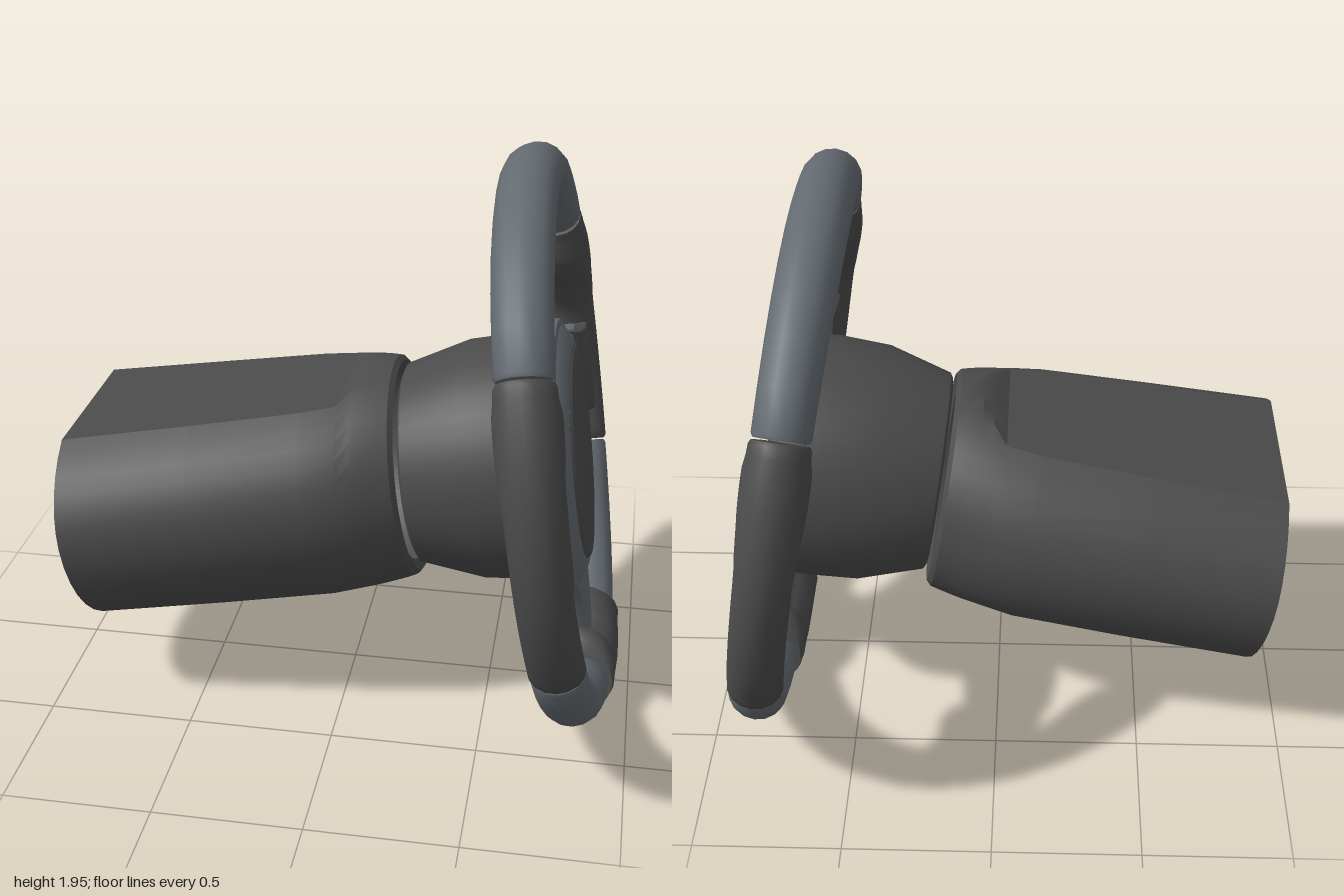
import * as THREE from 'three';
import { toCreasedNormals } from 'three/addons/utils/BufferGeometryUtils.js';

const dark = new THREE.MeshStandardMaterial({ color: 0x4b4b4b });
const darkOpen = new THREE.MeshStandardMaterial({ color: 0x4b4b4b, side: THREE.DoubleSide });
const slate = new THREE.MeshStandardMaterial({ color: 0x636a70 });
const HUB_Y = -0.07;
const rad = THREE.MathUtils.degToRad;

// Skin a list of closed rings, each an array of [x, y, z]
function loft(rings, crease) {
  const n = rings[0].length, index = [];
  for (let i = 0; i < rings.length - 1; i++) {
    for (let j = 0; j < n; j++) {
      const a = i * n + j, b = i * n + (j + 1) % n, c = b + n, d = a + n;
      index.push(a, d, c, a, c, b);
    }
  }
  const g = new THREE.BufferGeometry();
  g.setAttribute('position', new THREE.Float32BufferAttribute(rings.flat(2), 3));
  g.setIndex(index);
  return toCreasedNormals(g, crease);
}

// Piecewise linear lookup in [key, value] pairs with ascending keys
function lookup(table, x) {
  if (x <= table[0][0]) return table[0][1];
  for (let i = 1; i < table.length; i++) {
    const [x0, v0] = table[i - 1], [x1, v1] = table[i];
    if (x <= x1) return v0 + (v1 - v0) * (x - x0) / (x1 - x0);
  }
  return table[table.length - 1][1];
}

// Inner radius, outer radius and half depth of the bare rim at an angle
function rimSection(a) {
  const s = Math.sin(a), s2 = s * s;
  const mid = 0.922 - (s > 0 ? 0.027 : 0.05) * s2, h = 0.078 + 0.013 * s2;
  return { inner: mid - h, outer: mid + h, depth: h + 0.008 };
}

// Closed tube along an arc of the wheel, rounded off at both ends
function arcTube(deg0, deg1, section, steps, round = 0.012) {
  const rings = [], SIDES = 16, e = round / 0.9;
  const a0 = rad(deg0), a1 = rad(deg1);
  const stops = [[a0, 0.02], [a0, 0.93], [a0 + e, 1]];
  for (let i = 1; i < steps; i++) stops.push([a0 + (a1 - a0) * i / steps, 1]);
  stops.push([a1 - e, 1], [a1, 0.93], [a1, 0.02]);
  for (const [a, k] of stops) {
    const { inner, outer, depth } = section(a);
    const mid = (inner + outer) / 2, h = (outer - inner) / 2 * k;
    rings.push(Array.from({ length: SIDES }, (_, j) => {
      const p = j / SIDES * Math.PI * 2, r = mid + h * Math.cos(p);
      return [r * Math.cos(a), r * Math.sin(a), depth * k * Math.sin(p)];
    }));
  }
  return loft(rings, 0.75);
}

// Lathe turned about the column axis; points are [radius, z], back to front
function turned(points, segments = 40) {
  const g = new THREE.LatheGeometry(points.map(p => new THREE.Vector2(...p)), segments);
  g.rotateX(Math.PI / 2);
  g.translate(0, HUB_Y, 0);
  return toCreasedNormals(g, 0.5);
}

function plate(points, z0, z1, bevel) {
  const shape = new THREE.Shape(points.map(p => new THREE.Vector2(...p)));
  const g = new THREE.ExtrudeGeometry(shape, {
    depth: z1 - z0 - 2 * bevel, bevelEnabled: true, bevelSize: bevel,
    bevelThickness: bevel, bevelOffset: -bevel, bevelSegments: 2,
  });
  g.translate(0, 0, z0 + bevel);
  return toCreasedNormals(g, 0.5);
}

function hubArc(deg0, deg1, n) {
  return Array.from({ length: n + 1 }, (_, i) => {
    const a = rad(deg0 + (deg1 - deg0) * i / n);
    return [0.46 * Math.cos(a), HUB_Y + 0.46 * Math.sin(a)];
  });
}

// Column shroud: oval sections whose crown is cut flat towards the back
function shroudGeometry() {
  // z, half width, height above axis, depth below axis, flat height
  const sections = [
    [-0.53, 0.335, 0.325, 0.345, 9], [-0.515, 0.365, 0.352, 0.385, 9],
    [-0.53, 0.385, 0.37, 0.4, 9], [-0.56, 0.395, 0.376, 0.407, 9],
    [-0.61, 0.415, 0.38, 0.415, 0.302], [-0.65, 0.43, 0.38, 0.42, 0.285],
    [-0.7, 0.447, 0.38, 0.425, 0.257], [-0.82, 0.48, 0.38, 0.438, 0.254],
    [-1.2, 0.51, 0.375, 0.445, 0.246], [-1.65, 0.535, 0.37, 0.45, 0.238],
  ];
  const TOP = 8, REST = 32;
  const rings = sections.map(([z, w, up, down, cap]) => {
    const c = cap > 1 ? rad(70) : Math.asin(Math.min(0.94, (cap - HUB_Y) / up));
    const angles = [];
    for (let i = 0; i < TOP; i++) angles.push(c + (Math.PI - 2 * c) * i / TOP);
    for (let i = 0; i < REST; i++) angles.push(Math.PI - c + (Math.PI + 2 * c) * i / REST);
    return angles.map(t => {
      const s = Math.sin(t);
      return [0.014 + w * Math.cos(t), Math.min(cap, HUB_Y + s * (s > 0 ? up : down)), z];
    });
  });
  return loft(rings, 0.42);
}

export function createModel() {
  const model = new THREE.Group();
  model.name = 'steeringWheelAndColumn';
  const tilted = new THREE.Group();
  tilted.name = 'tiltedAssembly';
  tilted.rotation.set(0, Math.PI / 2, rad(9), 'ZYX');
  tilted.position.set(0.7, 0.975, 0);
  model.add(tilted);
  const add = (name, geometry, material) => {
    const mesh = new THREE.Mesh(geometry, material);
    mesh.name = name;
    tilted.add(mesh);
  };

  // Rim
  add('upperRim', arcTube(35.5, 144.5, rimSection, 12), slate);
  add('lowerRimRight', arcTube(-75, -27.5, rimSection, 6), slate);
  add('lowerRimLeft', arcTube(-152.5, -105, rimSection, 6), slate);

  // Hand grips with a thumb rest near the upper end
  const thumb = [[9, 0], [13, 0.022], [18, 0.035], [22, 0.052], [29, 0.052], [33, 0.005]];
  const grip = a => {
    const s = rimSection(a), deg = 90 - Math.abs(90 - THREE.MathUtils.radToDeg(a));
    const t = lookup(thumb, deg);
    return { inner: s.inner - 0.003 - t, outer: s.outer + 0.003, depth: s.depth + 0.003 + t * 0.25 };
  };
  add('rightGrip', arcTube(-27, 35, grip, 22), dark);
  add('leftGrip', arcTube(145, 207, grip, 22), dark);

  // Clip holding the lower spoke to the rim
  const clipInner = [[0, 0.765], [4, 0.765], [7, 0.72], [10, 0.695], [13, 0.71], [16, 0.78]];
  const clip = a => ({
    inner: lookup(clipInner, Math.abs(THREE.MathUtils.radToDeg(a) + 90)),
    outer: 0.985, depth: 0.12,
  });
  add('lowerSpokeClip', arcTube(-105.5, -74.5, clip, 20, 0.025), dark);

  // Hub plate with three spokes
  const half = [
    ...hubArc(90, 42, 8), [0.39, 0.19], [0.44, 0.165], [0.5, 0.15], [0.7, 0.12],
    [0.7, -0.15], [0.48, -0.165], ...hubArc(-15, -60, 8),
    [0.18, -0.52], [0.15, -0.57], [0.13, -0.65], [0.1, -0.82],
  ];
  const outline = [...half, ...half.slice(1).reverse().map(([x, y]) => [-x, y])];
  add('hubPlate', plate(outline.reverse(), -0.05, 0.035, 0.015), slate);
  add('hubRing', turned([[0.44, 0.03], [0.425, 0.045], [0.385, 0.066], [0.366, 0.068], [0.36, 0.05]]), slate);
  add('centrePad', turned([[0.363, 0.03], [0.363, 0.068], [0.352, 0.078], [0.25, 0.085], [0.12, 0.089], [0, 0.09]]), dark);

  // Spoke covers
  const cover = [[0.54, 0.15], [0.6, 0.135], [0.79, 0.065], [0.9, 0.06], [0.9, -0.28],
    [0.79, -0.28], [0.745, -0.23], [0.65, -0.22], [0.615, -0.185], [0.6, -0.09]];
  add('rightSpokeCover', plate(cover, -0.055, 0.065, 0.018), dark);
  add('leftSpokeCover', plate(cover.map(([x, y]) => [-x, y]), -0.055, 0.065, 0.018), dark);

  // Column behind the wheel
  add('hubHousing', turned([[0, -0.5], [0.33, -0.505], [0.348, -0.495], [0.413, -0.275],
    [0.422, -0.1], [0.42, -0.04]]), dark);
  add('columnShroud', shroudGeometry(), darkOpen);
  return model;
}
